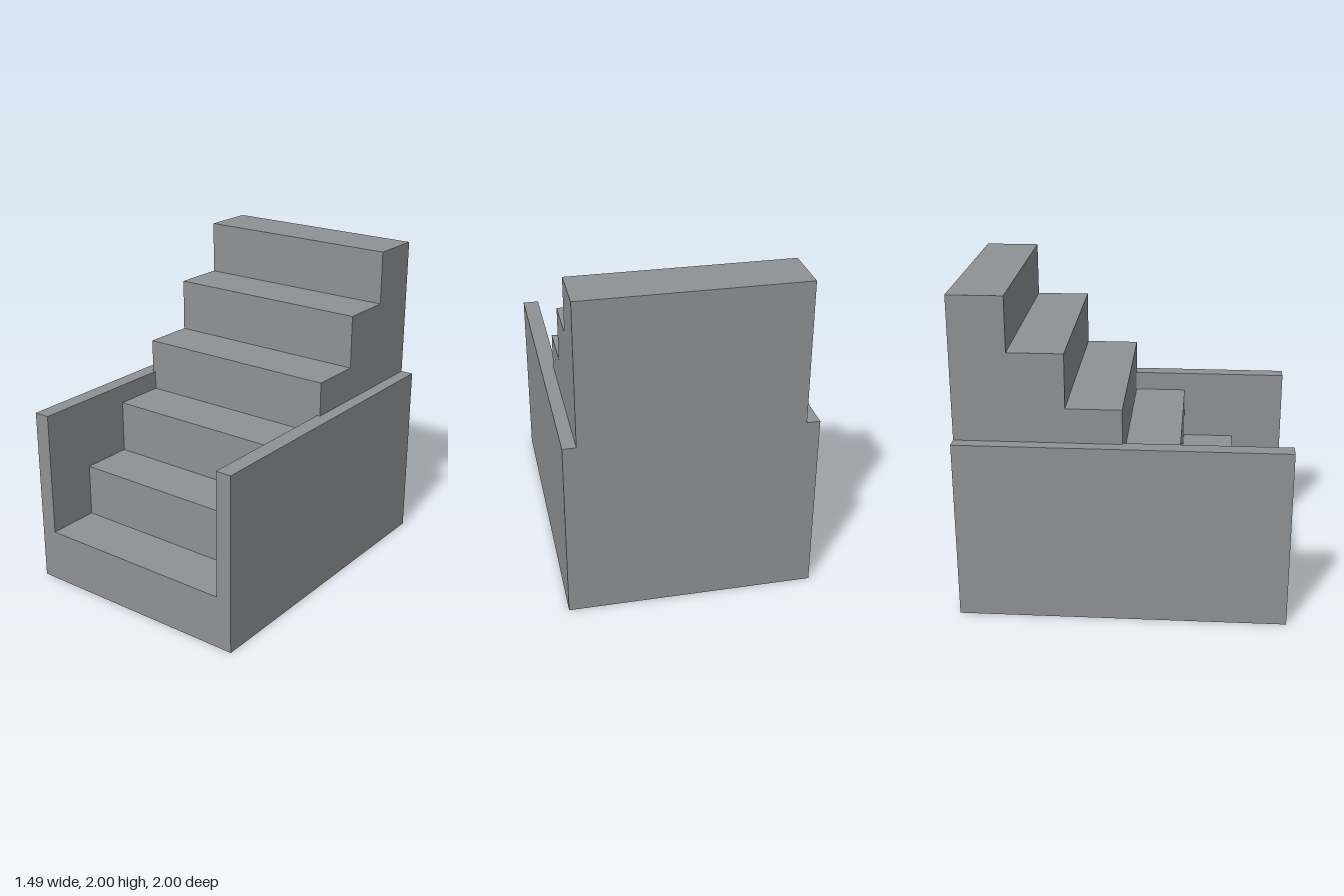
import * as THREE from 'three';

const STEP = 1 / 3;
const WALL_TOP = 1.12;
const INNER = 0.645; // half width between the side walls
const OUTER = 0.745; // half width of the whole block

// Side profile of the steps first..last, extruded across the stair width
function flight(name, first, last, base, halfWidth, material) {
  const shape = new THREE.Shape();
  shape.moveTo(-1, base);
  const front = 1 - first * STEP;
  shape.lineTo(front, base);
  for (let i = first; i <= last; i++) {
    const top = (i + 1) * STEP;
    shape.lineTo(1 - i * STEP, top);
    shape.lineTo(i === last ? -1 : 1 - (i + 1) * STEP, top);
  }
  shape.closePath();
  const geometry = new THREE.ExtrudeGeometry(shape, { depth: halfWidth * 2, bevelEnabled: false });
  geometry.translate(0, 0, -halfWidth);
  geometry.rotateY(-Math.PI / 2); // profile x becomes z
  const mesh = new THREE.Mesh(geometry, material);
  mesh.name = name;
  return mesh;
}

export function createModel() {
  const group = new THREE.Group();
  group.name = 'staircase';
  const stone = new THREE.MeshStandardMaterial({ color: 0x8f9296 });
  stone.name = 'grey stone';

  // Lower three steps, between the walls, with a solid core up to wall height
  group.add(flight('lowerSteps', 0, 2, 0, INNER, stone));
  const core = new THREE.Mesh(new THREE.BoxGeometry(INNER * 2, WALL_TOP - 1, 1), stone);
  core.position.set(0, (1 + WALL_TOP) / 2, -0.5);
  core.name = 'stairCore';
  group.add(core);

  // Upper three steps, slightly wider, resting on the walls
  group.add(flight('upperSteps', 3, 5, WALL_TOP, 0.665, stone));

  // Side walls
  for (const side of [-1, 1]) {
    const wall = new THREE.Mesh(new THREE.BoxGeometry(OUTER - INNER, WALL_TOP, 2), stone);
    wall.position.set(side * (OUTER + INNER) / 2, WALL_TOP / 2, 0);
    wall.name = side > 0 ? 'leftWall' : 'rightWall';
    group.add(wall);
  }
  return group;
}
